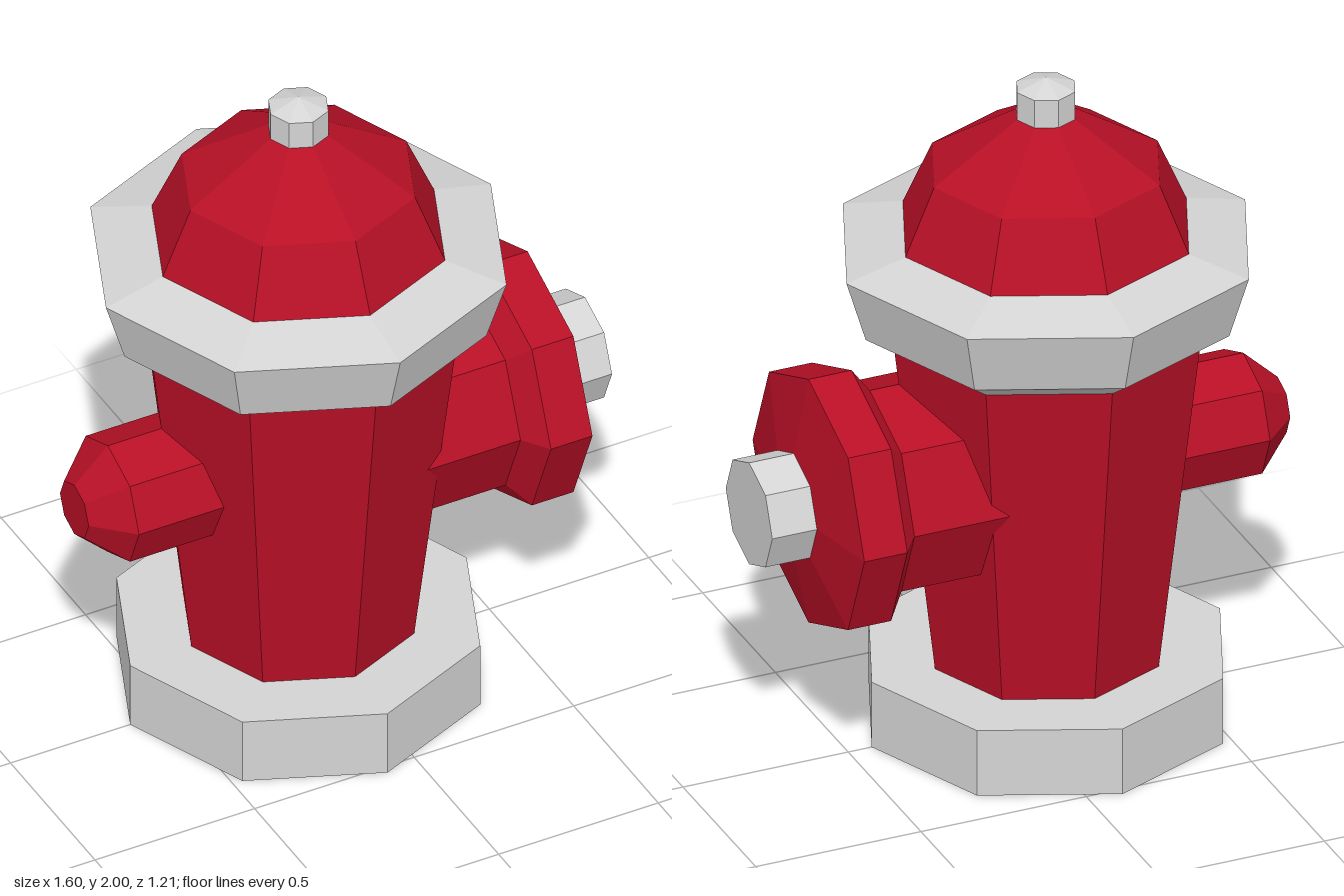
import * as THREE from 'three';

export function createModel() {
  const red = new THREE.MeshStandardMaterial({ color: 0xb81026, flatShading: true });
  red.name = 'hydrant red';
  const grey = new THREE.MeshStandardMaterial({ color: 0xd4d4d4, flatShading: true });
  grey.name = 'light grey';

  const model = new THREE.Group();
  model.name = 'hydrant';

  // Eight-sided turned part from [radius, height] pairs, bottom to top
  function turned(name, material, profile, parent) {
    const points = profile.map(([r, y]) => new THREE.Vector2(r, y));
    const mesh = new THREE.Mesh(new THREE.LatheGeometry(points, 8), material);
    mesh.name = name;
    parent.add(mesh);
    return mesh;
  }

  // Upright barrel, standing off centre
  const barrel = new THREE.Group();
  barrel.name = 'barrel';
  barrel.position.x = -0.098;
  model.add(barrel);
  turned('base', grey, [[0, 0], [0.527, 0], [0.527, 0.205], [0, 0.205]], barrel);
  turned('body', red, [[0.335, 0.2], [0.458, 1.235]], barrel);
  turned('collar', grey,
    [[0, 1.23], [0.458, 1.23], [0.545, 1.29], [0.603, 1.48], [0.425, 1.525], [0, 1.525]], barrel);
  turned('dome', red, [[0.427, 1.52], [0.338, 1.725], [0.085, 1.885], [0, 1.885]], barrel);
  turned('topNut', grey, [[0.087, 1.88], [0.087, 1.97], [0, 2]], barrel);

  // Large outlet on the left; profile heights are distances along x
  const largeOutlet = new THREE.Group();
  largeOutlet.name = 'largeOutlet';
  largeOutlet.position.y = 0.82;
  largeOutlet.rotation.z = -Math.PI / 2;
  model.add(largeOutlet);
  turned('outletFlange', red,
    [[0, 0.1], [0.308, 0.1], [0.308, 0.435], [0.384, 0.49], [0.384, 0.62], [0.16, 0.665], [0, 0.665]],
    largeOutlet);
  turned('outletNut', grey, [[0.16, 0.66], [0.16, 0.8], [0, 0.8]], largeOutlet);

  // Small outlet on the right
  const smallOutlet = new THREE.Group();
  smallOutlet.name = 'smallOutlet';
  smallOutlet.position.y = 0.812;
  smallOutlet.rotation.z = Math.PI / 2;
  model.add(smallOutlet);
  turned('smallOutletCap', red,
    [[0, 0.3], [0.185, 0.3], [0.185, 0.695], [0.085, 0.8], [0, 0.8]], smallOutlet);

  return model;
}
